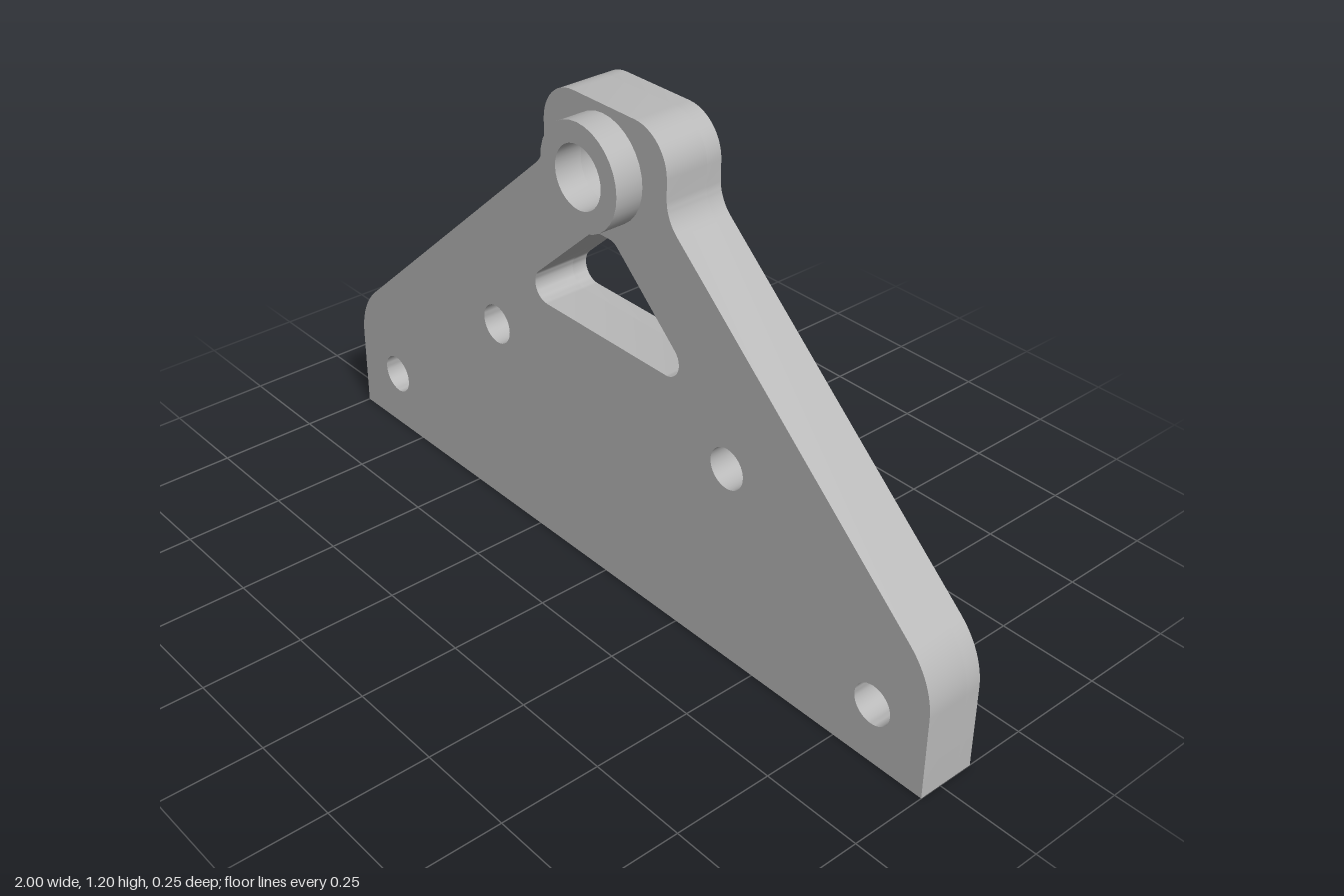
import * as THREE from 'three';
import { toCreasedNormals } from 'three/addons/utils/BufferGeometryUtils.js';

const BACK = -0.0925, FRONT = 0.0575, BOSS_FRONT = 0.1275;
const DENT_DEPTH = 0.04, DENT_R = 0.034, SEG = 32;
const BORE = [0, 1.055, 0.075];

// Polygon from [x, y, radius] corners, each rounded by a true arc
function roundedPoints(corners) {
  const out = [], n = corners.length;
  corners.forEach(([x, y, r], i) => {
    const p = new THREE.Vector2(x, y);
    if (!r) { out.push(p); return; }
    const a = corners[(i + n - 1) % n], b = corners[(i + 1) % n];
    const u = new THREE.Vector2(a[0] - x, a[1] - y).normalize();
    const v = new THREE.Vector2(b[0] - x, b[1] - y).normalize();
    const half = Math.acos(u.dot(v)) / 2, t = r / Math.tan(half);
    const c = u.clone().add(v).normalize().multiplyScalar(r / Math.sin(half)).add(p);
    const s = u.clone().multiplyScalar(t).add(p).sub(c);
    const e = v.clone().multiplyScalar(t).add(p).sub(c);
    const a0 = Math.atan2(s.y, s.x);
    const sweep = Math.atan2(s.cross(e), s.dot(e));
    for (let k = 0; k <= 12; k++) {
      const ang = a0 + sweep * k / 12;
      out.push(new THREE.Vector2(c.x + r * Math.cos(ang), c.y + r * Math.sin(ang)));
    }
  });
  return out;
}

function circle(x, y, r) {
  return new THREE.Path().absarc(x, y, r, 0, Math.PI * 2, false);
}

function extrude(shape, z0, z1) {
  const g = new THREE.ExtrudeGeometry(shape, { depth: z1 - z0, bevelEnabled: false, curveSegments: SEG / 2 });
  g.translate(0, 0, z0);
  return toCreasedNormals(g, 0.5);
}

// Plate outline with window, bore and screw holes, plus any extra holes
function plateShape(extraHoles = []) {
  const right = [[1, 0, 0], [1, 0.3, 0.2], [0.2, 1.013, 0.1], [0.2, 1.2, 0.1]];
  const left = right.map(([x, y, r]) => [-x, y, r]).reverse();
  const shape = new THREE.Shape(roundedPoints([...right, ...left]));
  const window = [[-0.312, 0.64, 0.042], [0.312, 0.64, 0.042], [0.033, 0.894, 0.04], [-0.033, 0.894, 0.04]];
  shape.holes.push(new THREE.Path(roundedPoints(window)), circle(...BORE));
  for (const s of [-1, 1]) shape.holes.push(circle(s * 0.85, 0.15, 0.05), circle(s * 0.4, 0.5, 0.05));
  shape.holes.push(...extraHoles);
  return shape;
}

export function createModel() {
  const model = new THREE.Group();
  const grey = new THREE.MeshStandardMaterial({ color: 0xb8b8b8 });
  grey.name = 'grey';
  const add = (name, geometry, parent = model) => {
    const mesh = new THREE.Mesh(geometry, grey);
    mesh.name = name;
    parent.add(mesh);
    return mesh;
  };

  // Checkerboard of pegs and dents on the back
  const pegs = [], dents = [];
  for (let row = 0; row < 4; row++) {
    for (let col = 0; col < 14; col++) {
      const spot = [0.6825 - col * 0.105, 0.4 - row * 0.11];
      ((row + col) % 2 ? dents : pegs).push(spot);
    }
  }

  // Plate: solid front layer and a back layer pierced by the dents
  const floor = BACK + DENT_DEPTH;
  add('plateFront', extrude(plateShape(), floor, FRONT));
  add('plateBack', extrude(plateShape(dents.map(([x, y]) => circle(x, y, DENT_R))), BACK, floor));

  // Raised ring around the bore
  const ring = new THREE.Shape();
  ring.absarc(0, BORE[1], 0.125, 0, Math.PI * 2, false);
  ring.holes.push(circle(...BORE));
  add('boss', extrude(ring, FRONT, BOSS_FRONT));

  // Tapered pegs
  const pegGroup = new THREE.Group();
  pegGroup.name = 'pegs';
  const pegGeo = new THREE.CylinderGeometry(0.016, 0.0285, 0.035, 24);
  pegGeo.rotateX(-Math.PI / 2);
  for (const [x, y] of pegs) add('peg', pegGeo, pegGroup).position.set(x, y, BACK - 0.0175);

  // Tapered dent walls, facing inward
  const dentGroup = new THREE.Group();
  dentGroup.name = 'dents';
  const dentGeo = new THREE.LatheGeometry(
    [new THREE.Vector2(DENT_R, 0), new THREE.Vector2(0.02, -DENT_DEPTH)], SEG);
  dentGeo.rotateX(-Math.PI / 2);
  for (const [x, y] of dents) add('dent', dentGeo, dentGroup).position.set(x, y, BACK);

  model.add(pegGroup, dentGroup);
  return model;
}
